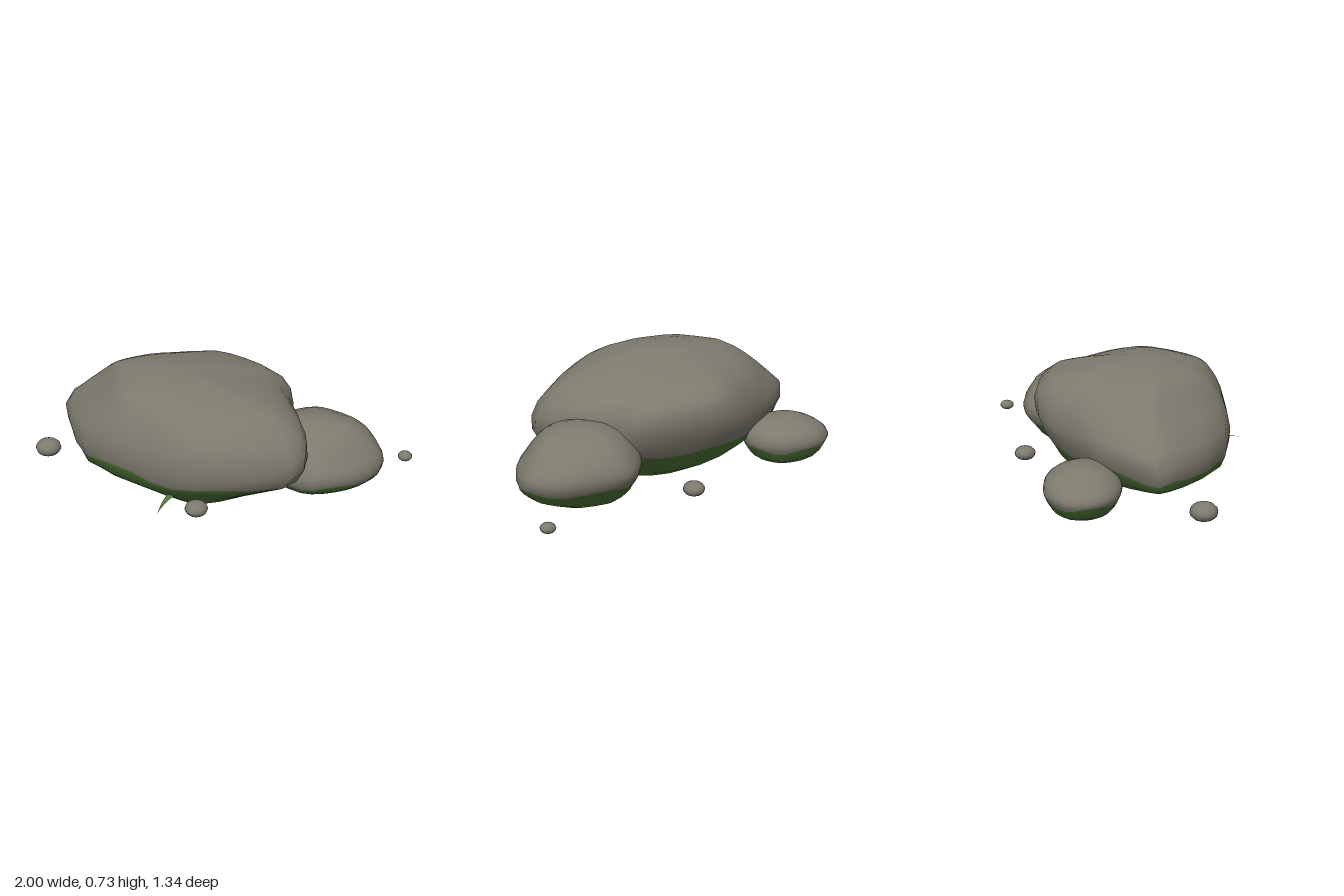
import * as THREE from 'three';
import { mergeVertices } from 'three/addons/utils/BufferGeometryUtils.js';

const stone = new THREE.MeshStandardMaterial({ color: 0x7d7a6e });
stone.name = 'stone';
const moss = new THREE.MeshStandardMaterial({ color: 0x4a6d33 });
moss.name = 'moss';
const grass = new THREE.MeshStandardMaterial({ color: 0x567d3e, side: THREE.DoubleSide });
grass.name = 'grass';

// Boulder: a plan outline [x, z] fitted to the bounds of each level
// [y, xMin, xMax, zMin, zMax]; moss covers it up to the wavy level mossRow.
function boulder(name, plan, levels, mossRow, wave) {
  const V = (x, y, z) => new THREE.Vector3(x, y, z);
  const spline = (pts, closed) => new THREE.CatmullRomCurve3(pts, closed, 'catmullrom', 0.5);
  const box = new THREE.Box2().setFromPoints(plan.map(p => new THREE.Vector2(...p)));
  const outline = spline(plan.map(([x, z]) => V(
    (x - box.min.x) / (box.max.x - box.min.x), 0,
    (z - box.min.y) / (box.max.y - box.min.y))), true);
  const low = spline(levels.map(l => V(l[1], l[0], l[3])), false);
  const high = spline(levels.map(l => V(l[2], l[0], l[4])), false);

  const around = plan.length * 2, below = 6, above = 9, rows = below + above;
  const last = levels.length - 1;
  const positions = [], index = [];
  for (let j = 0; j <= rows; j++) {
    for (let i = 0; i < around; i++) {
      const edge = mossRow + wave(i / around * Math.PI * 2);
      const level = j <= below ? edge * j / below : edge + (last - edge) * (j - below) / above;
      const a = low.getPoint(level / last), b = high.getPoint(level / last);
      const p = outline.getPoint(i / around);
      positions.push(a.x + (b.x - a.x) * p.x, a.y, a.z + (b.z - a.z) * p.z);
    }
  }
  for (let j = 0; j < rows; j++) {
    for (let i = 0; i < around; i++) {
      const k = (i + 1) % around, r = j * around, s = r + around;
      index.push(r + i, r + k, s + k, r + i, s + k, s + i);
    }
  }
  let geo = new THREE.BufferGeometry();
  geo.setAttribute('position', new THREE.Float32BufferAttribute(positions, 3));
  geo.setIndex(index);
  geo = mergeVertices(geo, 1e-4);
  geo.computeVertexNormals();
  geo.clearGroups();
  geo.addGroup(0, below * around * 6, 0);
  geo.addGroup(below * around * 6, above * around * 6, 1);
  const mesh = new THREE.Mesh(geo, [moss, stone]);
  mesh.name = name;
  return mesh;
}

export function createModel() {
  const model = new THREE.Group();
  model.name = 'mossyRocks';

  model.add(boulder('mainBoulder',
    [[0.62, 0.02], [0.5, -0.15], [0.37, -0.3], [0.31, -0.43], [0.02, -0.515], [-0.25, -0.53],
      [-0.5, -0.39], [-0.7, -0.27], [-0.88, -0.07], [-0.91, 0.04], [-0.83, 0.16], [-0.55, 0.45],
      [-0.2, 0.53], [0.08, 0.55], [0.3, 0.48], [0.62, 0.21]],
    [[0, 0.02, 0.02, 0.03, 0.03], [0.03, -0.22, 0.2, -0.13, 0.27], [0.11, -0.52, 0.34, -0.29, 0.4],
      [0.19, -0.83, 0.48, -0.38, 0.49], [0.265, -0.89, 0.6, -0.43, 0.54],
      [0.38, -0.91, 0.63, -0.5, 0.555], [0.5, -0.78, 0.58, -0.525, 0.53],
      [0.6, -0.66, 0.45, -0.48, 0.475], [0.66, -0.58, 0.29, -0.34, 0.41],
      [0.71, -0.45, 0.07, -0.14, 0.28], [0.73, -0.13, -0.13, 0.06, 0.06]],
    4, a => 0.22 * Math.sin(7 * a + 1) + 0.1 * Math.sin(3 * a)));

  model.add(boulder('leftBoulder',
    [[0.94, -0.27], [0.9, -0.39], [0.78, -0.5], [0.53, -0.555], [0.4, -0.53], [0.28, -0.41],
      [0.22, -0.25], [0.28, -0.07], [0.42, 0.06], [0.62, 0.11], [0.75, 0.05], [0.87, -0.09]],
    [[0.05, 0.55, 0.55, -0.24, -0.24], [0.06, 0.4, 0.69, -0.39, -0.12], [0.1, 0.28, 0.83, -0.45, 0],
      [0.14, 0.25, 0.89, -0.48, 0.06], [0.185, 0.23, 0.93, -0.52, 0.1],
      [0.25, 0.22, 0.94, -0.555, 0.11], [0.32, 0.25, 0.895, -0.535, 0.07],
      [0.4, 0.32, 0.83, -0.47, 0], [0.455, 0.42, 0.74, -0.35, -0.09],
      [0.476, 0.59, 0.59, -0.21, -0.21]],
    4, a => 0.25 * Math.sin(5 * a)));

  model.add(boulder('rightBoulder',
    [[-0.46, -0.34], [-0.5, -0.44], [-0.58, -0.51], [-0.7, -0.54], [-0.82, -0.53], [-0.93, -0.45],
      [-0.96, -0.35], [-0.92, -0.23], [-0.81, -0.15], [-0.68, -0.13], [-0.56, -0.16], [-0.48, -0.24]],
    [[0.05, -0.7, -0.7, -0.33, -0.33], [0.06, -0.79, -0.61, -0.41, -0.25],
      [0.1, -0.9, -0.52, -0.49, -0.18], [0.17, -0.95, -0.47, -0.53, -0.14],
      [0.21, -0.96, -0.46, -0.54, -0.13], [0.26, -0.92, -0.48, -0.52, -0.15],
      [0.31, -0.83, -0.56, -0.44, -0.22], [0.335, -0.71, -0.71, -0.33, -0.33]],
    3, a => 0.25 * Math.sin(4 * a + 1)));

  // Loose pebbles: x, z, radius
  const pebbles = new THREE.Group();
  pebbles.name = 'pebbles';
  for (const [x, z, r] of [[-0.93, 0.26, 0.075], [0.17, 0.46, 0.064], [0.06, -0.58, 0.06], [0.953, -0.63, 0.042]]) {
    const pebble = new THREE.Mesh(new THREE.SphereGeometry(r, 12, 8), stone);
    pebble.name = 'pebble';
    pebble.scale.y = 0.67;
    pebble.position.set(x, 0.125, z);
    pebbles.add(pebble);
  }
  model.add(pebbles);

  // Grass blade arching forward and tapering to a point
  const steps = 6;
  const blade = new THREE.PlaneGeometry(1, 1, 1, steps);
  const pos = blade.attributes.position;
  for (let i = 0; i < pos.count; i++) {
    const t = 0.5 - pos.getY(i), side = pos.getX(i);
    pos.setXYZ(i, 0.015 + 0.03 * t + side * 0.05 * (1 - t),
      0.165 + 0.06 * t * (1 - t), 0.44 + 0.225 * t);
  }
  blade.computeVertexNormals();
  const bladeMesh = new THREE.Mesh(blade, grass);
  bladeMesh.name = 'grassBlade';
  model.add(bladeMesh);

  return model;
}
